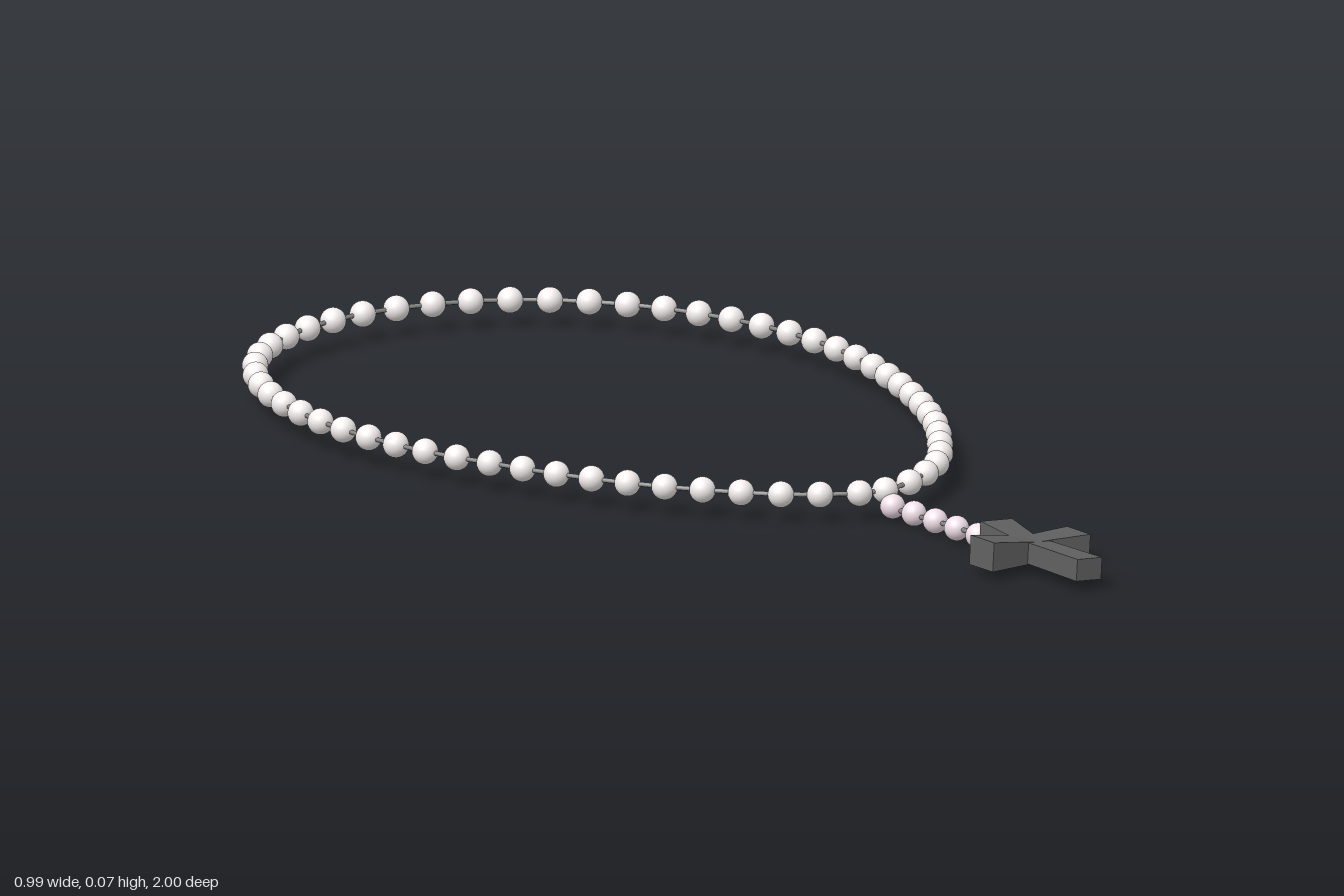
import * as THREE from 'three';

const material = (color, flatShading = false) => new THREE.MeshStandardMaterial({ color, flatShading });

// Four-sided arm along +z, flaring from half sizes (w0, h0) to (w1, h1)
function flaredArm(length, w0, h0, w1, h1) {
  const geo = new THREE.BoxGeometry(2, 2, length).translate(0, 0, length / 2);
  const p = geo.attributes.position;
  for (let i = 0; i < p.count; i++) {
    const t = p.getZ(i) / length;
    p.setX(i, p.getX(i) * THREE.MathUtils.lerp(w0, w1, t));
    p.setY(i, p.getY(i) * THREE.MathUtils.lerp(h0, h1, t));
  }
  geo.computeVertexNormals();
  return geo;
}

export function createModel() {
  const model = new THREE.Group();
  const pearl = material(0xf4eeee);
  const pink = material(0xf0dfe8);
  const cordMat = material(0x888888);
  const dark = material(0x606060, true);

  const add = (parent, name, geo, mat) => {
    const mesh = new THREE.Mesh(geo, mat);
    mesh.name = name;
    parent.add(mesh);
    return mesh;
  };

  // Egg-shaped loop, from the front junction up the left side and back down the right (x, z)
  const loopY = 0.047;
  const outline = [
    [0.003, 0.428], [0.066, 0.409], [0.169, 0.338], [0.249, 0.237], [0.318, 0.129], [0.373, 0.015],
    [0.418, -0.104], [0.453, -0.229], [0.472, -0.356], [0.471, -0.483], [0.447, -0.608], [0.4, -0.727],
    [0.328, -0.833], [0.23, -0.918], [0.114, -0.966], [-0.016, -0.981], [-0.138, -0.958], [-0.252, -0.902],
    [-0.344, -0.815], [-0.411, -0.706], [-0.453, -0.584], [-0.472, -0.457], [-0.469, -0.33],
    [-0.448, -0.203], [-0.408, -0.081], [-0.363, 0.036], [-0.305, 0.15], [-0.233, 0.256],
    [-0.148, 0.354], [-0.098, 0.391], [-0.042, 0.42],
  ].map(([x, z]) => new THREE.Vector3(x, loopY, z));
  const loop = new THREE.CatmullRomCurve3(outline);
  const closed = new THREE.CatmullRomCurve3(outline, true);

  const necklace = new THREE.Group();
  necklace.name = 'beadLoop';
  model.add(necklace);
  add(necklace, 'loopCord', new THREE.TubeGeometry(closed, 160, 0.004, 6, true), cordMat);
  const beadGeo = new THREE.SphereGeometry(0.0213, 24, 16);
  for (const p of loop.getSpacedPoints(57)) add(necklace, 'loopBead', beadGeo, pearl).position.copy(p);

  // Hanging strand of five beads
  const strand = new THREE.Group();
  strand.name = 'pendantStrand';
  model.add(strand);
  const strandPath = new THREE.CatmullRomCurve3([
    new THREE.Vector3(0.003, loopY, 0.428), new THREE.Vector3(0.003, 0.025, 0.451),
    new THREE.Vector3(0.001, 0.025, 0.564), new THREE.Vector3(0, 0.028, 0.71),
  ]);
  add(strand, 'strandCord', new THREE.TubeGeometry(strandPath, 32, 0.004, 6), cordMat);
  const smallBead = new THREE.SphereGeometry(0.0205, 24, 16);
  for (let i = 0; i < 5; i++) add(strand, 'strandBead', smallBead, pink).position.set(0.002, 0.025, 0.45 + i * 0.0583);

  // Ring joining strand and cross
  const ring = add(model, 'crossRing', new THREE.TorusGeometry(0.017, 0.004, 8, 24), dark);
  ring.rotation.x = Math.PI / 2;
  ring.position.set(0.001, 0.03, 0.729);

  // Flared cross lying flat, slightly tilted
  const cross = new THREE.Group();
  cross.name = 'cross';
  cross.position.set(-0.003, 0.034, 0.832);
  cross.rotation.set(-0.012, -0.02, -0.07);
  model.add(cross);
  const arms = [
    ['lowerArm', 0, flaredArm(0.167, 0.021, 0.017, 0.024, 0.018)],
    ['leftArm', Math.PI / 2, flaredArm(0.094, 0.024, 0.017, 0.033, 0.024)],
    ['upperArm', Math.PI, flaredArm(0.097, 0.02, 0.015, 0.031, 0.029)],
    ['rightArm', -Math.PI / 2, flaredArm(0.094, 0.024, 0.017, 0.033, 0.024)],
  ];
  for (const [name, angle, geo] of arms) add(cross, name, geo, dark).rotation.y = angle;

  return model;
}
